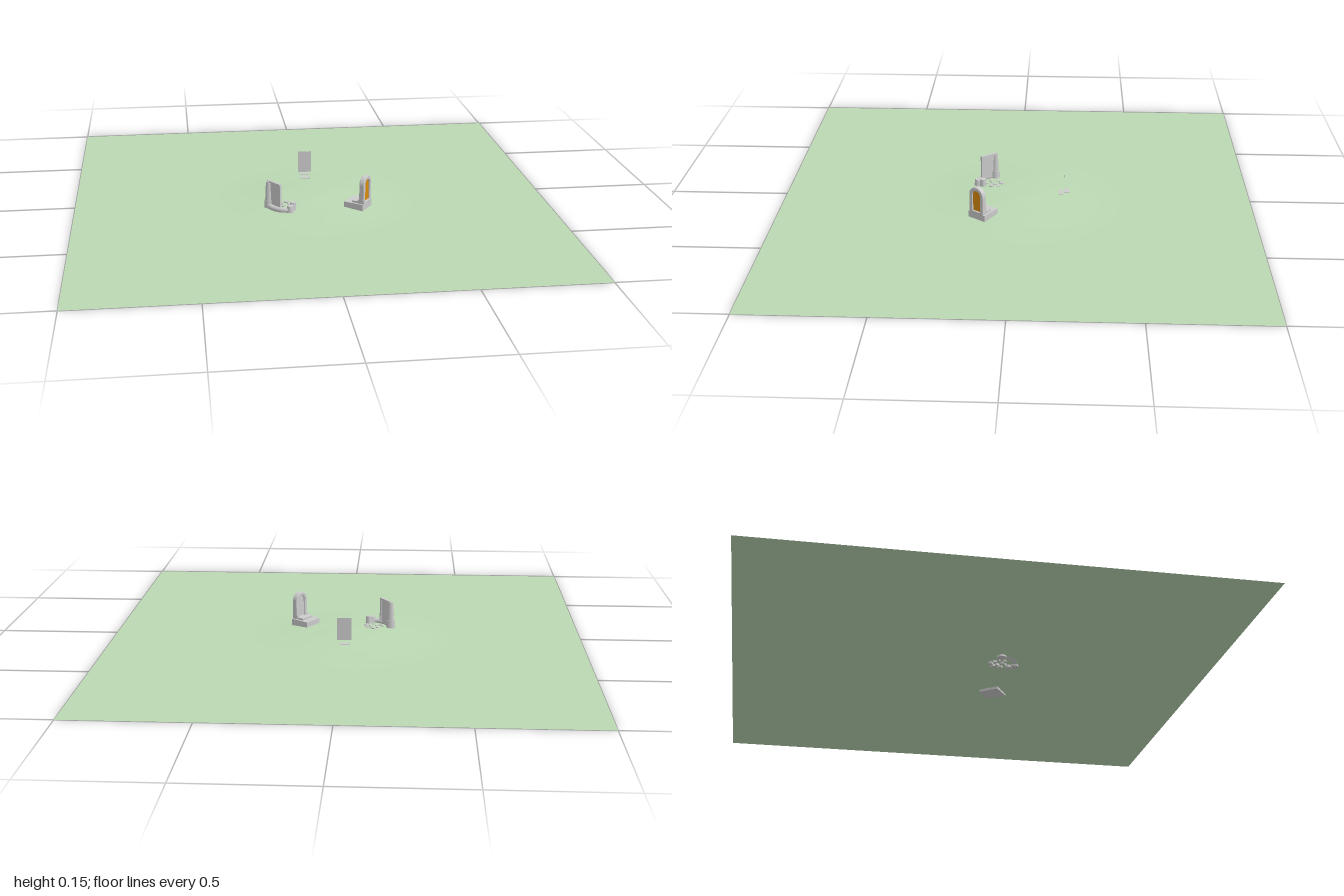
import * as THREE from 'three';

const material = (color) => new THREE.MeshStandardMaterial({ color, side: THREE.DoubleSide });
const grey = material(0xcccccc);

function add(parent, name, geometry, x, y, z, mat = grey) {
  const mesh = new THREE.Mesh(geometry, mat);
  mesh.name = name;
  mesh.position.set(x, y, z);
  parent.add(mesh);
  return mesh;
}

// Round-topped outline of a doorway, standing on y = bottom
function archPath(Type, width, bottom, top) {
  const r = width / 2;
  const p = new Type();
  p.moveTo(-r, bottom);
  p.lineTo(r, bottom);
  p.lineTo(r, top - r);
  p.absarc(0, top - r, r, 0, Math.PI, false);
  p.lineTo(-r, bottom);
  return p;
}

// Height of the low mound in the middle of the ground
function groundHeight(x, z) {
  const d = Math.min(Math.hypot(x, z) / 0.45, 1);
  const ripple = 0.0008 * Math.sin(x * 31) * Math.cos(z * 27);
  return (0.017 + ripple) * (1 - d * d * (3 - 2 * d));
}

function makeGround() {
  const geometry = new THREE.PlaneGeometry(2, 2, 80, 80).rotateX(-Math.PI / 2);
  const p = geometry.attributes.position;
  for (let i = 0; i < p.count; i++) p.setY(i, groundHeight(p.getX(i), p.getZ(i)));
  geometry.computeVertexNormals();
  const ground = new THREE.Mesh(geometry, material(0xbbd8b2));
  ground.name = 'ground';
  return ground;
}

// Whole doorway: plinth, arched frame and amber panel; local +z faces outward
function makeArchedDoor() {
  const door = new THREE.Group();
  door.name = 'archedDoor';
  door.rotation.y = 0.95;
  add(door, 'plinth', new THREE.BoxGeometry(0.087, 0.034, 0.086), 0, 0.017, 0.2315);
  add(door, 'plinthStep', new THREE.BoxGeometry(0.068, 0.008, 0.045), 0, 0.038, 0.243);

  const frame = archPath(THREE.Shape, 0.068, 0.03, 0.148);
  frame.holes.push(archPath(THREE.Path, 0.044, 0.04, 0.136));
  add(door, 'archFrame', new THREE.ExtrudeGeometry(frame, {
    depth: 0.018, bevelEnabled: true, bevelThickness: 0.002, bevelSize: 0.002, bevelSegments: 1,
  }), 0, 0, 0.256);
  const panel = archPath(THREE.Shape, 0.046, 0.038, 0.138);
  add(door, 'backPanel', new THREE.ExtrudeGeometry(panel, { depth: 0.006, bevelEnabled: false }), 0, 0, 0.26);
  add(door, 'amberPanel', new THREE.ShapeGeometry(panel, 16), 0, 0, 0.27, material(0xd98b0c));
  for (const s of [-1, 1]) {
    add(door, 'frameFoot', new THREE.BoxGeometry(0.014, 0.02, 0.026), s * 0.03, 0.042, 0.262);
  }
  return door;
}

// Ruined doorway: tall panel, broken jambs, curved sill and scattered stones
function makeRuinedDoor() {
  const ruin = new THREE.Group();
  ruin.name = 'ruinedDoor';

  const slab = new THREE.Group();
  slab.name = 'standingPanel';
  slab.position.set(-0.165, 0, 0.13);
  slab.rotation.y = -0.95;
  ruin.add(slab);
  add(slab, 'panel', new THREE.BoxGeometry(0.068, 0.106, 0.003), 0, 0.07, 0);
  for (const s of [-1, 1]) {
    add(slab, 'jamb', new THREE.BoxGeometry(0.008, 0.11, 0.01), s * 0.036, 0.07, 0);
  }
  add(slab, 'lintel', new THREE.BoxGeometry(0.08, 0.008, 0.01), 0, 0.123, 0);

  const pillar = new THREE.CylinderGeometry(0.011, 0.017, 0.115, 8);
  add(ruin, 'tallPillar', pillar, -0.187, 0.066, 0.103);
  add(ruin, 'pillarFoot', new THREE.CylinderGeometry(0.018, 0.02, 0.042, 8), -0.187, 0.021, 0.103);

  // Curved sill linking the two posts
  const curve = new THREE.CatmullRomCurve3([
    [-0.19, 0.105], [-0.17, 0.142], [-0.142, 0.166], [-0.1, 0.178],
  ].map(([x, z]) => new THREE.Vector3(x, 0.016, z)));
  add(ruin, 'curvedSill', new THREE.TubeGeometry(curve, 16, 0.012, 8, false), 0, 0, 0);

  // Low stumps at the broken end
  add(ruin, 'stump', new THREE.CylinderGeometry(0.014, 0.018, 0.035, 8), -0.103, 0.019, 0.174);
  add(ruin, 'stump', new THREE.CylinderGeometry(0.012, 0.015, 0.044, 8), -0.09, 0.022, 0.152);

  // Flat stones in the fallen floor
  const stones = [
    [-0.15, 0.1], [-0.13, 0.085], [-0.11, 0.07], [-0.125, 0.115], [-0.1, 0.1],
    [-0.085, 0.085], [-0.11, 0.135], [-0.145, 0.125], [-0.08, 0.115],
  ];
  stones.forEach(([x, z], i) => {
    const size = 0.011 + 0.004 * (i % 3);
    const stone = add(ruin, 'stone', new THREE.BoxGeometry(size, 0.014, size * 0.7),
      x, groundHeight(x, z) - 0.003, z);
    stone.rotation.y = i * 1.3;
  });
  return ruin;
}

// Plain floating panel with two thin treads below it
function makePlainDoor() {
  const door = new THREE.Group();
  door.name = 'plainDoor';
  add(door, 'panel', new THREE.PlaneGeometry(0.06, 0.096), 0, 0.098, -0.205);
  add(door, 'upperTread', new THREE.BoxGeometry(0.04, 0.003, 0.024), 0, 0.037, -0.215);
  add(door, 'lowerTread', new THREE.BoxGeometry(0.042, 0.003, 0.02), 0, 0.029, -0.189);
  return door;
}

export function createModel() {
  const model = new THREE.Group();
  model.name = 'doorwayCircle';
  model.add(makeGround(), makeArchedDoor(), makeRuinedDoor(), makePlainDoor());
  return model;
}
